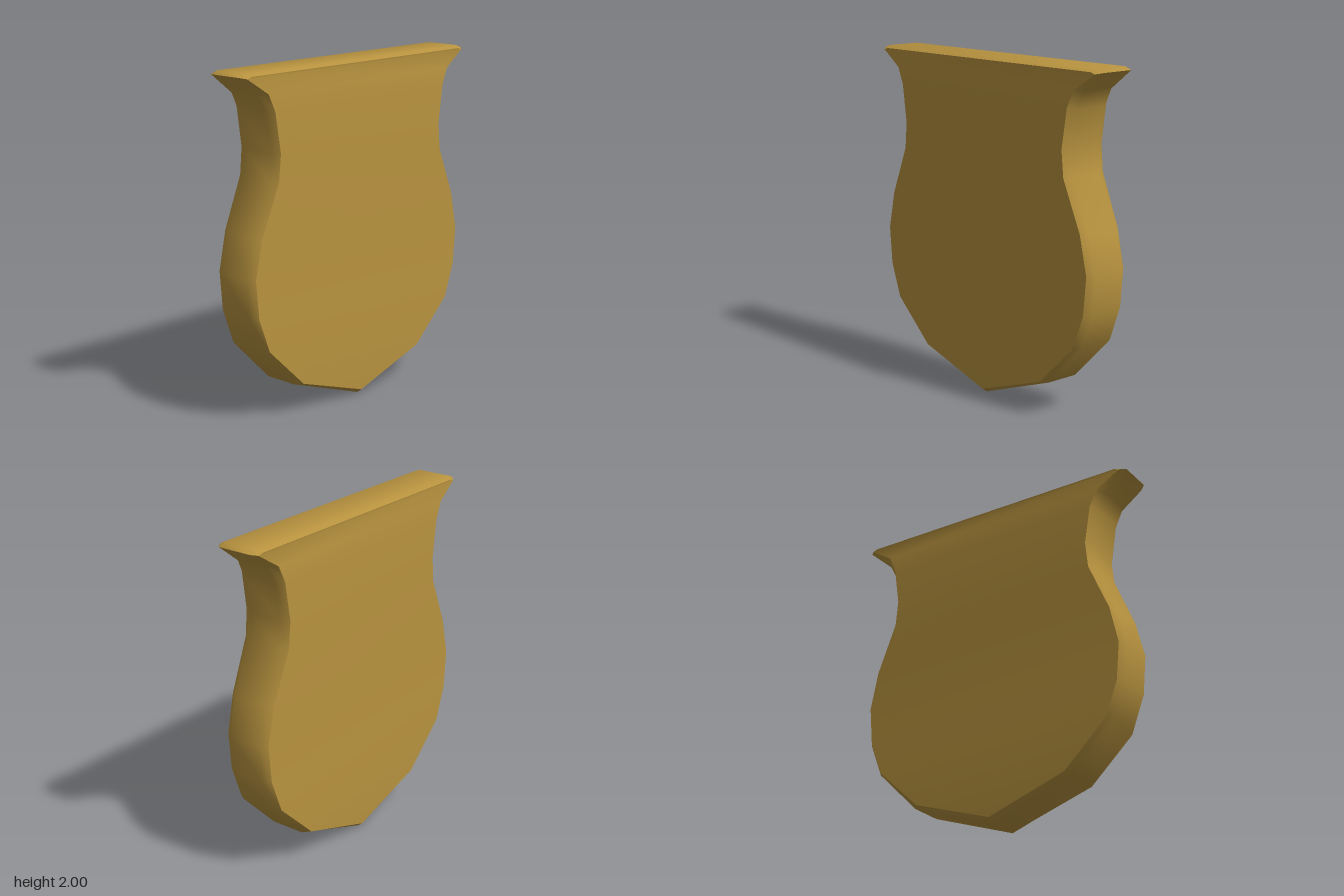
import * as THREE from 'three';
import { toCreasedNormals } from 'three/addons/utils/BufferGeometryUtils.js';

// Half outline from bottom tip to top corner: outer x, y, then bevelled rim x, y, z
const half = [
  [0, 0.005, 0, 0.03, 0.14],
  [0.53, 0.19, 0.495, 0.195, 0.147],
  [0.79, 0.45, 0.76, 0.447, 0.149],
  [0.865, 0.65, 0.835, 0.65, 0.147],
  [0.885, 0.88, 0.855, 0.875, 0.146],
  [0.83, 1.1, 0.805, 1.1, 0.148],
  [0.705, 1.4, 0.68, 1.395, 0.154],
  [0.69, 1.55, 0.665, 1.55, 0.155],
  [0.73, 1.77, 0.7, 1.78, 0.152],
  [0.78, 1.87, 0.745, 1.88, 0.149],
  [0.925, 1.983, 0.89, 1.975, 0.138],
  [0.88, 2, 0.86, 1.985, 0.14],
];

function shieldGeometry() {
  const mirrored = half.slice(1).reverse().map(([x, y, rx, ry, z]) => [-x, y, -rx, ry, z]);
  const outline = [...half, ...mirrored];
  const n = outline.length;
  const positions = [];
  const index = [];

  // Four loops, back to front: back rim, back wall, front wall, front rim
  for (const p of outline) positions.push(p[2], p[3], -p[4]);
  for (const p of outline) positions.push(p[0], p[1], -0.105);
  for (const p of outline) positions.push(p[0], p[1], 0.105);
  for (const p of outline) positions.push(p[2], p[3], p[4]);

  // Wall and bevels
  for (let r = 0; r < 3; r++) {
    for (let i = 0; i < n; i++) {
      const j = (i + 1) % n;
      const a = r * n + i, b = r * n + j, c = a + n, d = b + n;
      index.push(a, b, d, a, d, c);
    }
  }

  // Front and back faces, filled in rows between mirrored rim points
  for (let i = 0; i < half.length - 1; i++) {
    const l0 = (n - i) % n, l1 = n - i - 1;
    const tris = [[i, i + 1, l1]];
    if (i > 0) tris.push([i, l1, l0]);
    for (const [a, b, c] of tris) {
      index.push(3 * n + a, 3 * n + b, 3 * n + c);
      index.push(a, c, b);
    }
  }

  const geometry = new THREE.BufferGeometry();
  geometry.setAttribute('position', new THREE.Float32BufferAttribute(positions, 3));
  geometry.setIndex(index);
  return toCreasedNormals(geometry, 0.8);
}

export function createModel() {
  const group = new THREE.Group();
  group.name = 'shield';
  const body = new THREE.Mesh(shieldGeometry(), new THREE.MeshStandardMaterial({ color: 0xb8933f }));
  body.name = 'shieldBody';
  group.add(body);
  return group;
}
